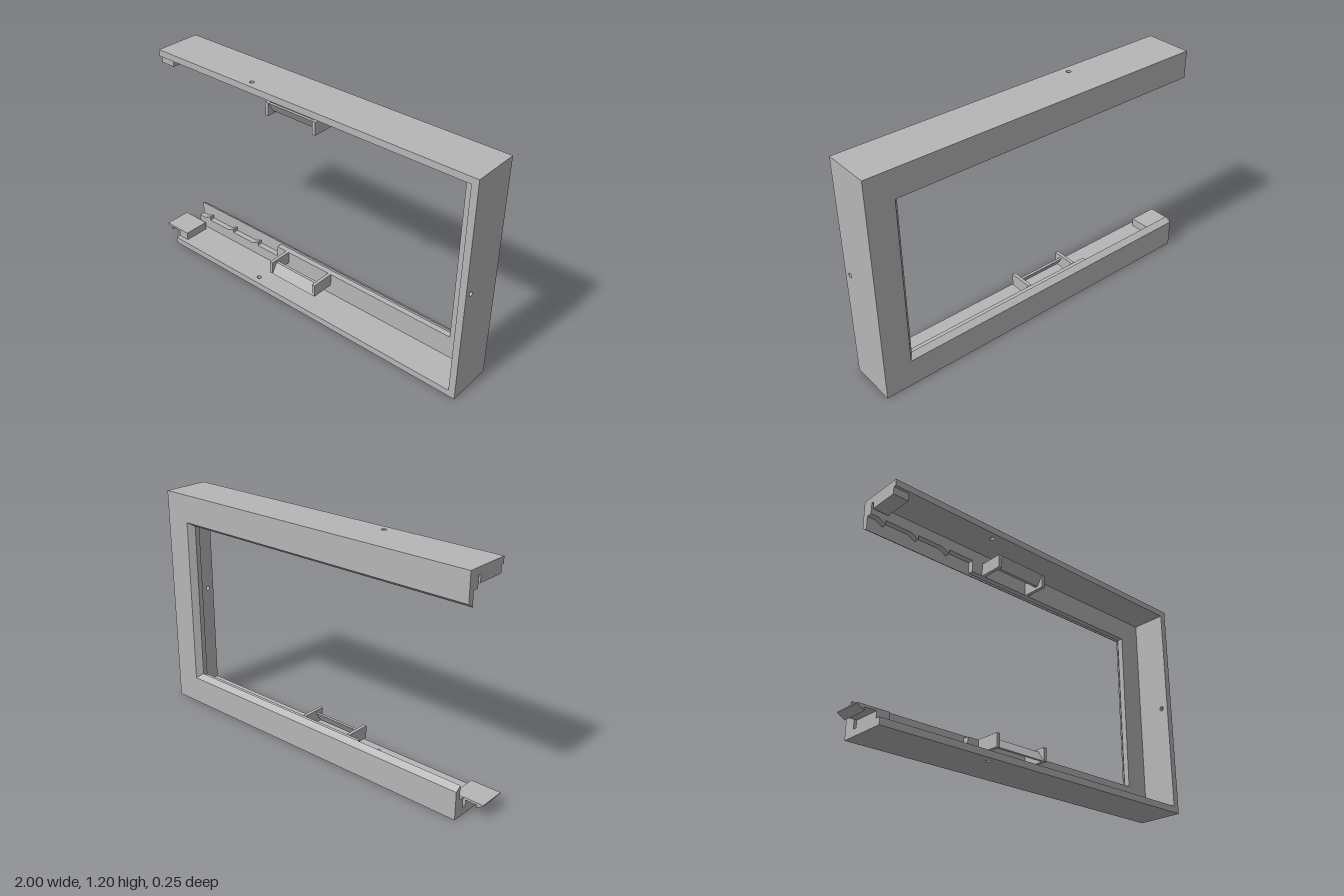
import * as THREE from 'three';

const X0 = -0.905, X1 = 1, H = 1.2, MID = 0.6, WALL = 0.035;
const BACK = -0.127, STEP = -0.095, INNER = -0.065, FRONT = 0.125;

export function createModel() {
  const model = new THREE.Group();
  model.name = 'halfFrame';
  const grey = new THREE.MeshStandardMaterial({ color: 0xb6b6b6 });
  grey.name = 'plain grey';

  const add = (name, geometry, parent = model) => {
    const mesh = new THREE.Mesh(geometry, grey);
    mesh.name = name;
    parent.add(mesh);
    return mesh;
  };
  const box = (name, x0, x1, y0, y1, z0, z1, parent) =>
    add(name, new THREE.BoxGeometry(x1 - x0, y1 - y0, z1 - z0)
      .translate((x0 + x1) / 2, (y0 + y1) / 2, (z0 + z1) / 2), parent);
  const polygon = (points) => new THREE.Shape(points.map(([x, y]) => new THREE.Vector2(x, y)));
  // straight extrusion along z between two depths
  const prism = (points, z0, z1) =>
    new THREE.ExtrudeGeometry(polygon(points), { depth: z1 - z0, bevelEnabled: false }).translate(0, 0, z0);

  // C-shaped outline, given by the lower half of its inner edge
  const cShape = (inner) => [
    [X0, 0], [X1, 0], [X1, H], [X0, H],
    ...inner.map(([x, y]) => [x, H - y]),
    ...inner.slice().reverse(),
  ];

  // Back plate, its opening widening towards the rear
  const plate = prism(cShape([[X0, 0.17], [0.83, 0.17]]), BACK, STEP);
  const p = plate.attributes.position;
  for (let i = 0; i < p.count; i++) {
    if (p.getZ(i) > BACK + 0.001) continue;
    const dy = p.getY(i) - MID;
    if (Math.abs(dy) < 0.5) {
      p.setY(i, MID + Math.sign(dy) * 0.452);
      if (p.getX(i) > 0) p.setX(i, 0.856);
    }
  }
  plate.computeVertexNormals();
  add('backPlate', plate);

  // Inner layer, cut back along the two toothed channels
  add('innerPlate', prism(cShape([[X0, 0.095], [-0.29, 0.095], [-0.29, 0.158], [0.833, 0.158]]), STEP, INNER));

  // Outer walls, each with a small round screw hole
  const wall = (name, x0, x1, holeX, holeZ) => {
    const shape = polygon([[x0, INNER], [x1, INNER], [x1, FRONT], [x0, FRONT]]);
    shape.holes.push(new THREE.Path().absarc(holeX, holeZ, 0.012, 0, Math.PI * 2, true));
    const g = new THREE.ExtrudeGeometry(shape, { depth: WALL, bevelEnabled: false, curveSegments: 12 });
    g.rotateX(Math.PI / 2); // shape y becomes z, depth runs downwards
    return add(name, g);
  };
  wall('bottomWall', X0, X1, -0.29, 0.083).position.y = WALL;
  wall('topWall', X0, X1, -0.29, 0.083).position.y = H;
  const side = wall('sideWall', WALL - MID, MID - WALL, 0, 0.085);
  side.rotation.z = -Math.PI / 2;
  side.position.set(X1, MID, 0);

  // Fittings repeated on the lower and upper arm
  for (const upper of [false, true]) {
    const arm = new THREE.Group();
    arm.name = upper ? 'upperFittings' : 'lowerFittings';
    model.add(arm);
    const Y = (y) => (upper ? H - y : y);
    const span = (name, x0, x1, y0, y1, z0, z1) =>
      box(name, x0, x1, Math.min(Y(y0), Y(y1)), Math.max(Y(y0), Y(y1)), z0, z1, arm);

    // ratchet teeth
    for (const x of [-0.82, -0.63, -0.44]) {
      add('tooth', prism([[x - 0.042, Y(0.095)], [x, Y(0.095)], [x, Y(0.117)]], STEP, INNER), arm);
    }

    // holder: two cheeks and a sloping panel between them
    span('holderCheek', -0.225, -0.207, 0.09, 0.16, INNER, 0.065);
    span('holderCheek', 0.072, 0.09, 0.09, 0.16, INNER, 0.065);
    const section = [[0.065, 0.09], [0.03, 0.145], [0.015, 0.145], [0.05, 0.09]];
    const panel = prism(section.map(([z, y]) => [-z, Y(y)]), 0, 0.279);
    panel.rotateY(Math.PI / 2).translate(-0.207, 0, 0);
    add('holderPanel', panel, arm);
  }

  // Snap tab on the lower arm
  box('tabBase', X0, -0.84, WALL, 0.08, -0.045, 0.1);
  add('snapTab', prism([[-1, 0.08], [-1, 0.075], [-0.962, 0.052], [-0.967, 0.068],
    [X0, 0.068], [X0, 0.08]], -0.045, 0.1));

  // Catch block under the upper wall
  box('catchBlock', X0, -0.82, 1.125, H - WALL, -0.05, 0.11);

  return model;
}
